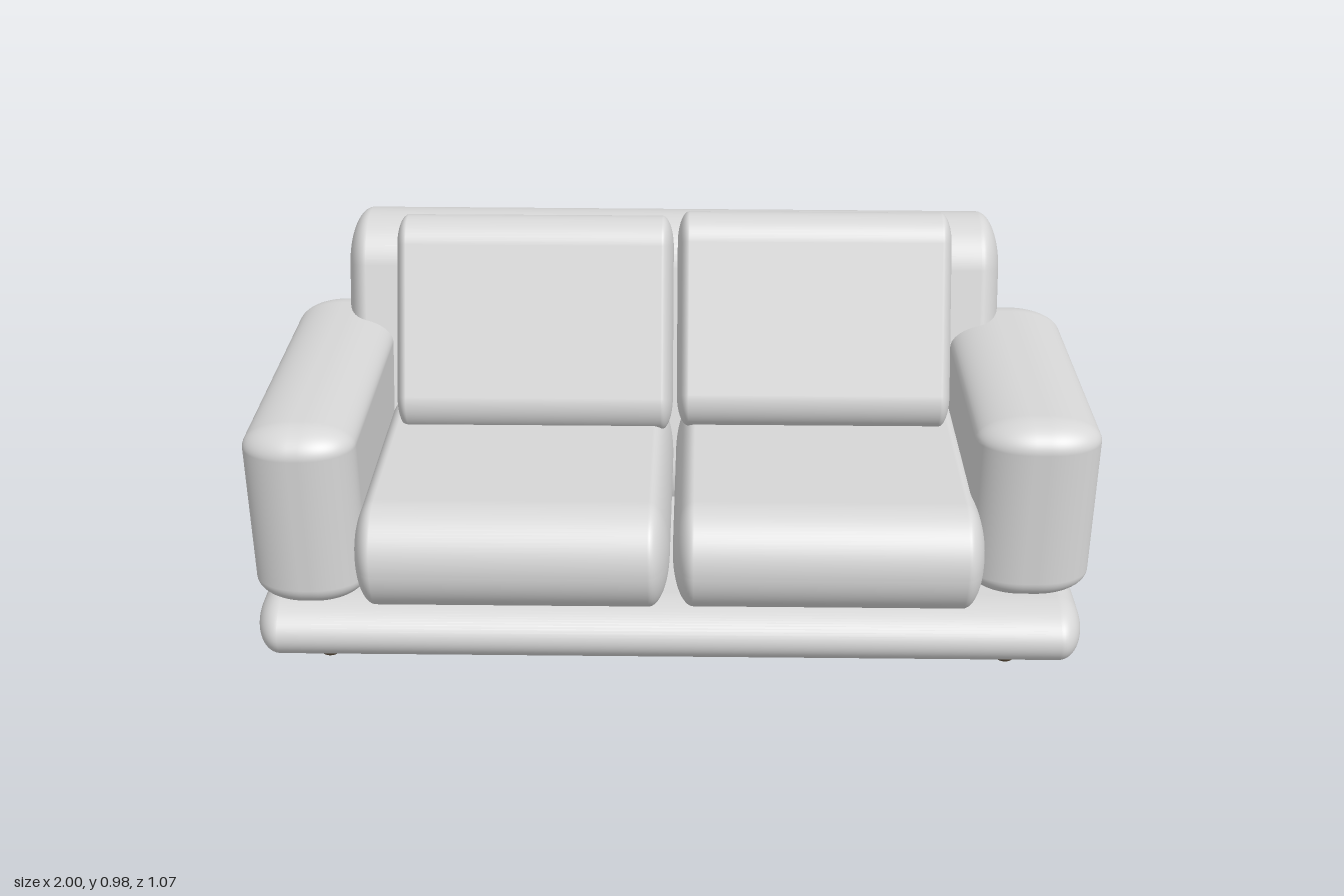
import * as THREE from 'three';
import { RoundedBoxGeometry } from 'three/addons/geometries/RoundedBoxGeometry.js';

// Soft upholstered block with a separate edge radius along each axis
function cushionGeometry(size, radius) {
  const [w, h, d] = size.map((s, i) => s / radius[i]);
  return new RoundedBoxGeometry(w, h, d, 8, 1).scale(...radius);
}

// Tapered foot, sheared so that its tip leans outwards
function legGeometry(lean) {
  const height = 0.12;
  const geometry = new THREE.CylinderGeometry(0.05, 0.023, height, 20);
  geometry.translate(0, height / 2, 0);
  const shear = new THREE.Matrix4().set(
    1, -lean / height, 0, 0,
    0, 1, 0, 0,
    0, 0, 1, 0,
    0, 0, 0, 1
  );
  return geometry.applyMatrix4(shear);
}

export function createModel() {
  const model = new THREE.Group();
  model.name = 'sofa';

  const fabric = new THREE.MeshStandardMaterial({ color: 0xd6d6d6 });
  fabric.name = 'light grey fabric';
  const wood = new THREE.MeshStandardMaterial({ color: 0x4c3f2f });
  wood.name = 'dark wood';

  function addCushion(name, size, radius, position, tilt = 0, yaw = 0) {
    const mesh = new THREE.Mesh(cushionGeometry(size, radius), fabric);
    mesh.name = name;
    mesh.position.set(...position);
    mesh.rotation.set(-THREE.MathUtils.degToRad(tilt), yaw, 0, 'YXZ');
    model.add(mesh);
  }

  // Platform
  addCushion('base', [1.98, 0.15, 0.955], [0.06, 0.075, 0.12], [-0.01, 0.162, 0.032]);

  // Arms, rounded at the ends in plan
  addCushion('rightArm', [0.265, 0.465, 0.87], [0.12, 0.06, 0.09], [-0.867, 0.455, 0.037]);
  addCushion('leftArm', [0.295, 0.465, 0.78], [0.13, 0.06, 0.09], [0.852, 0.455, 0.024]);

  // Leaning backrest
  addCushion('backrest', [1.705, 0.81, 0.294], [0.06, 0.147, 0.147], [-0.012, 0.524, -0.303], 19, -0.006);

  // Seat cushions
  addCushion('rightSeatCushion', [0.745, 0.265, 0.78], [0.05, 0.13, 0.13], [-0.38, 0.358, 0.138]);
  addCushion('leftSeatCushion', [0.735, 0.265, 0.78], [0.05, 0.13, 0.13], [0.367, 0.358, 0.135]);

  // Loose back cushions
  addCushion('rightBackCushion', [0.7, 0.543, 0.16], [0.03, 0.08, 0.08], [-0.358, 0.712, -0.134], 24);
  addCushion('leftBackCushion', [0.69, 0.543, 0.16], [0.03, 0.08, 0.08], [0.347, 0.725, -0.132], 24);

  // Legs
  for (const [side, x] of [['right', -0.86], ['left', 0.825]]) {
    for (const [end, z] of [['Front', 0.3], ['Back', -0.235]]) {
      const lean = Math.sign(x) * 0.032;
      const leg = new THREE.Mesh(legGeometry(lean), wood);
      leg.name = `${side}${end}Leg`;
      leg.position.set(x, 0, z);
      model.add(leg);
    }
  }

  return model;
}
